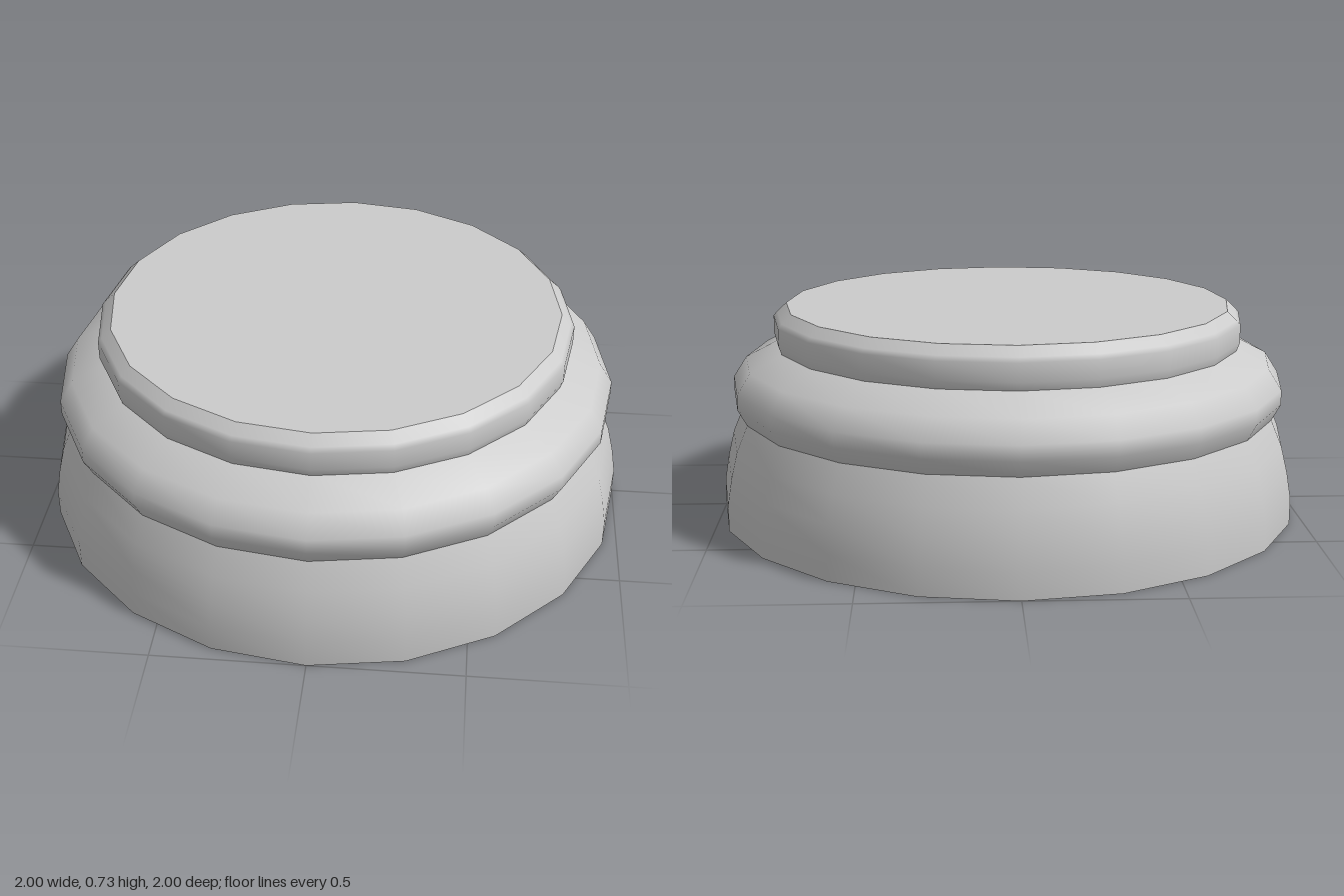
import * as THREE from 'three';

const SIDES = 20;

export function createModel() {
  const group = new THREE.Group();
  const material = new THREE.MeshStandardMaterial({ color: 0xcccccc });

  const add = (name, geometry) => {
    const mesh = new THREE.Mesh(geometry, material);
    mesh.name = name;
    group.add(mesh);
    return mesh;
  };

  // Each turned band is its own lathe: smooth inside, sharp where bands meet
  const band = (name, profile) =>
    add(name, new THREE.LatheGeometry(profile.map(([r, y]) => new THREE.Vector2(r, y)), SIDES));

  band('baseDrum', [[1, 0], [1, 0.09], [0.985, 0.18], [0.963, 0.27], [0.925, 0.36]]);
  band('middleMoulding', [[0.925, 0.36], [0.955, 0.415], [0.955, 0.465], [0.91, 0.535], [0.8, 0.592]]);
  band('topMoulding', [[0.8, 0.592], [0.81, 0.62], [0.81, 0.68], [0.797, 0.695], [0.765, 0.725]]);

  // Flat discs closing the top and the underside
  const cap = (name, radius, y, turn) => {
    const geometry = new THREE.CircleGeometry(radius, SIDES);
    geometry.rotateX(turn);
    add(name, geometry).position.y = y;
  };
  cap('topFace', 0.765, 0.725, -Math.PI / 2);
  cap('underside', 1, 0, Math.PI / 2);

  return group;
}
